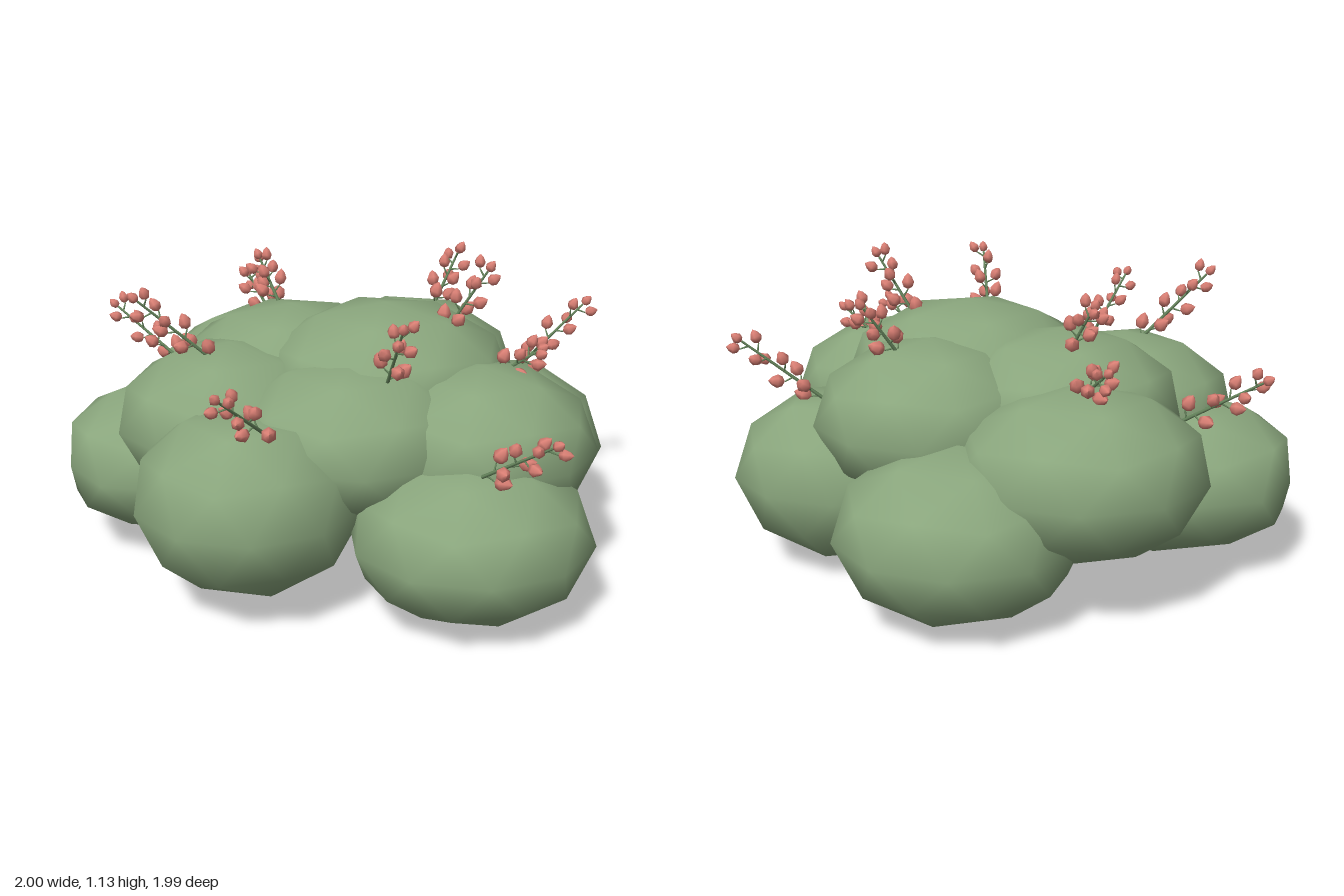
import * as THREE from 'three';

const leafMat = new THREE.MeshStandardMaterial({ color: 0x8aa67d });
leafMat.name = 'leaf green';
const stemMat = new THREE.MeshStandardMaterial({ color: 0x6a8a60 });
stemMat.name = 'stem green';
const budMat = new THREE.MeshStandardMaterial({ color: 0xd97f74 });
budMat.name = 'bud coral';

const UP = new THREE.Vector3(0, 1, 0);

// Foliage lumps: name, centre, radii, axis along which the ends are flattened
const LUMPS = [
  ['backLump', [0.16, 0.30, -0.59], [0.43, 0.30, 0.41]],
  ['frontLeftLump', [0.39, 0.29, 0.60], [0.42, 0.285, 0.39]],
  ['frontRightLump', [-0.35, 0.39, 0.45], [0.40, 0.33, 0.39], 'y'],
  ['rightLump', [-0.59, 0.34, -0.09], [0.48, 0.285, 0.39], 'x'],
  ['leftLump', [0.60, 0.335, -0.12], [0.42, 0.32, 0.37], 'y'],
  ['upperBackRightLump', [-0.24, 0.48, -0.49], [0.45, 0.30, 0.41]],
  ['upperFrontLeftLump', [0.46, 0.52, 0.34], [0.41, 0.28, 0.39]],
  ['upperRightLump', [-0.40, 0.53, 0.07], [0.42, 0.29, 0.40]],
  ['upperFrontLump', [0.02, 0.54, 0.30], [0.44, 0.28, 0.40]],
  ['upperBackLeftLump', [0.28, 0.58, -0.24], [0.42, 0.29, 0.39]],
  ['upperBackLump', [-0.17, 0.61, -0.16], [0.44, 0.28, 0.41]],
  ['crownLump', [0.16, 0.66, 0.04], [0.47, 0.285, 0.43]],
];

// Sprigs: base and tip
const SPRIGS = [
  [[0.12, 0.79, 0.45], [0.15, 1.03, 0.62]],
  [[0.36, 0.84, 0.10], [0.52, 1.10, 0.14]],
  [[0.38, 0.82, -0.30], [0.50, 1.03, -0.40]],
  [[0.50, 0.71, 0.24], [0.68, 0.85, 0.31]],
  [[0.68, 0.61, -0.14], [0.97, 0.86, -0.22]],
  [[0.40, 0.55, 0.71], [0.59, 0.75, 0.94]],
  [[-0.29, 0.66, 0.56], [-0.45, 0.89, 0.83]],
  [[-0.46, 0.77, 0.12], [-0.73, 1.03, 0.19]],
  [[-0.59, 0.61, -0.34], [-0.86, 0.81, -0.50]],
  [[-0.25, 0.76, -0.53], [-0.33, 0.88, -0.68]],
  [[-0.21, 0.85, -0.28], [-0.29, 1.03, -0.38]],
];

// Pointed oval bud with its foot at the origin
const budGeo = new THREE.LatheGeometry([
  [0, 0], [0.016, 0.008], [0.022, 0.024], [0.013, 0.042], [0, 0.054],
].map(([x, y]) => new THREE.Vector2(x, y)), 6);

// Tapered stick between two points
function stick(name, a, b, r) {
  const d = b.clone().sub(a);
  const mesh = new THREE.Mesh(new THREE.CylinderGeometry(r * 0.6, r, d.length(), 5), stemMat);
  mesh.name = name;
  mesh.position.copy(a).addScaledVector(d, 0.5);
  mesh.quaternion.setFromUnitVectors(UP, d.normalize());
  return mesh;
}

function addBud(group, pos, dir, size) {
  const bud = new THREE.Mesh(budGeo, budMat);
  bud.name = 'bud';
  bud.position.copy(pos);
  bud.quaternion.setFromUnitVectors(UP, dir);
  bud.scale.setScalar(size);
  group.add(bud);
}

// Stem with buds spiralling up it on short twigs
function makeSprig(base, tip, index) {
  const sprig = new THREE.Group();
  sprig.name = 'sprig';
  const a = new THREE.Vector3(...base), b = new THREE.Vector3(...tip);
  const axis = b.clone().sub(a).normalize();
  const side = new THREE.Vector3(axis.z, 0, -axis.x).normalize();
  const top = b.clone().addScaledVector(axis, -0.03);
  sprig.add(stick('stem', a, top, 0.007));
  const count = 9;
  for (let i = 0; i < count; i++) {
    const t = 0.06 + 0.86 * i / (count - 1);
    const out = side.clone().applyAxisAngle(axis, i * 2.4 + index);
    const foot = a.clone().lerp(top, t);
    const dir = axis.clone().addScaledVector(out, 0.6).normalize();
    const end = foot.clone().addScaledVector(out, 0.03).addScaledVector(axis, 0.015);
    sprig.add(stick('twig', foot, end, 0.004));
    addBud(sprig, end, dir, 1.25 - 0.35 * t);
  }
  addBud(sprig, top, axis, 0.85);
  return sprig;
}

// Faceted ball with a vertex straight up, optionally flattened at two ends
function makeLump(name, centre, radii, flatAxis) {
  const geo = new THREE.IcosahedronGeometry(1, 1).rotateZ(Math.atan(2 / (1 + Math.sqrt(5))));
  if (flatAxis) {
    const p = geo.attributes.position;
    const k = 'xyz'.indexOf(flatAxis);
    for (let i = 0; i < p.count; i++) {
      p.setComponent(i, k, THREE.MathUtils.clamp(p.getComponent(i, k), -0.85, 0.85));
    }
  }
  geo.scale(...radii).translate(...centre);
  const lump = new THREE.Mesh(geo, leafMat);
  lump.name = name;
  return lump;
}

export function createModel() {
  const model = new THREE.Group();
  model.name = 'floweringBush';

  // Rounded foliage
  const foliage = new THREE.Group();
  foliage.name = 'foliage';
  LUMPS.forEach((lump) => foliage.add(makeLump(...lump)));
  model.add(foliage);

  // Budding sprigs
  SPRIGS.forEach(([base, tip], i) => model.add(makeSprig(base, tip, i)));
  return model;
}
